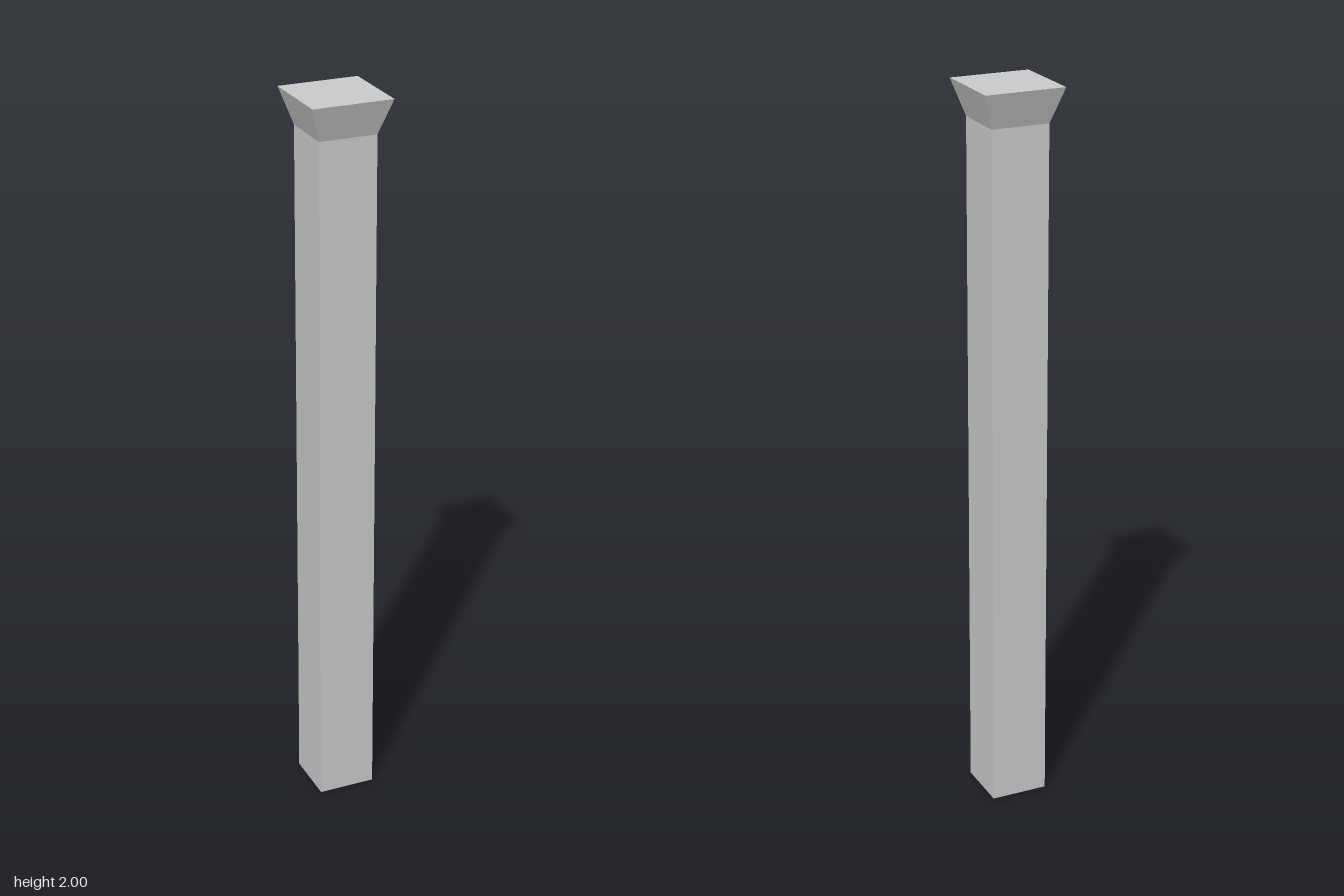
import * as THREE from 'three';

const SHAFT_HALF = 0.079;
const CAP_HALF = 0.11;
const CAP_BASE = 1.905;
const HEIGHT = 2;

// Four-sided prism with flat faces square to the axes
function squarePrism(name, topHalf, bottomHalf, y0, y1, material) {
  const geometry = new THREE.CylinderGeometry(
    topHalf * Math.SQRT2, bottomHalf * Math.SQRT2, y1 - y0, 4);
  geometry.rotateY(Math.PI / 4);
  geometry.translate(0, (y0 + y1) / 2, 0);
  const mesh = new THREE.Mesh(geometry, material);
  mesh.name = name;
  return mesh;
}

export function createModel() {
  const group = new THREE.Group();
  group.name = 'pillar';
  const material = new THREE.MeshStandardMaterial({ color: 0xcccccc, flatShading: true });

  // Straight square shaft
  group.add(squarePrism('shaft', SHAFT_HALF, SHAFT_HALF, 0, CAP_BASE, material));
  // Flared capital, widening to a flat top
  group.add(squarePrism('capital', CAP_HALF, SHAFT_HALF, CAP_BASE, HEIGHT, material));

  return group;
}
